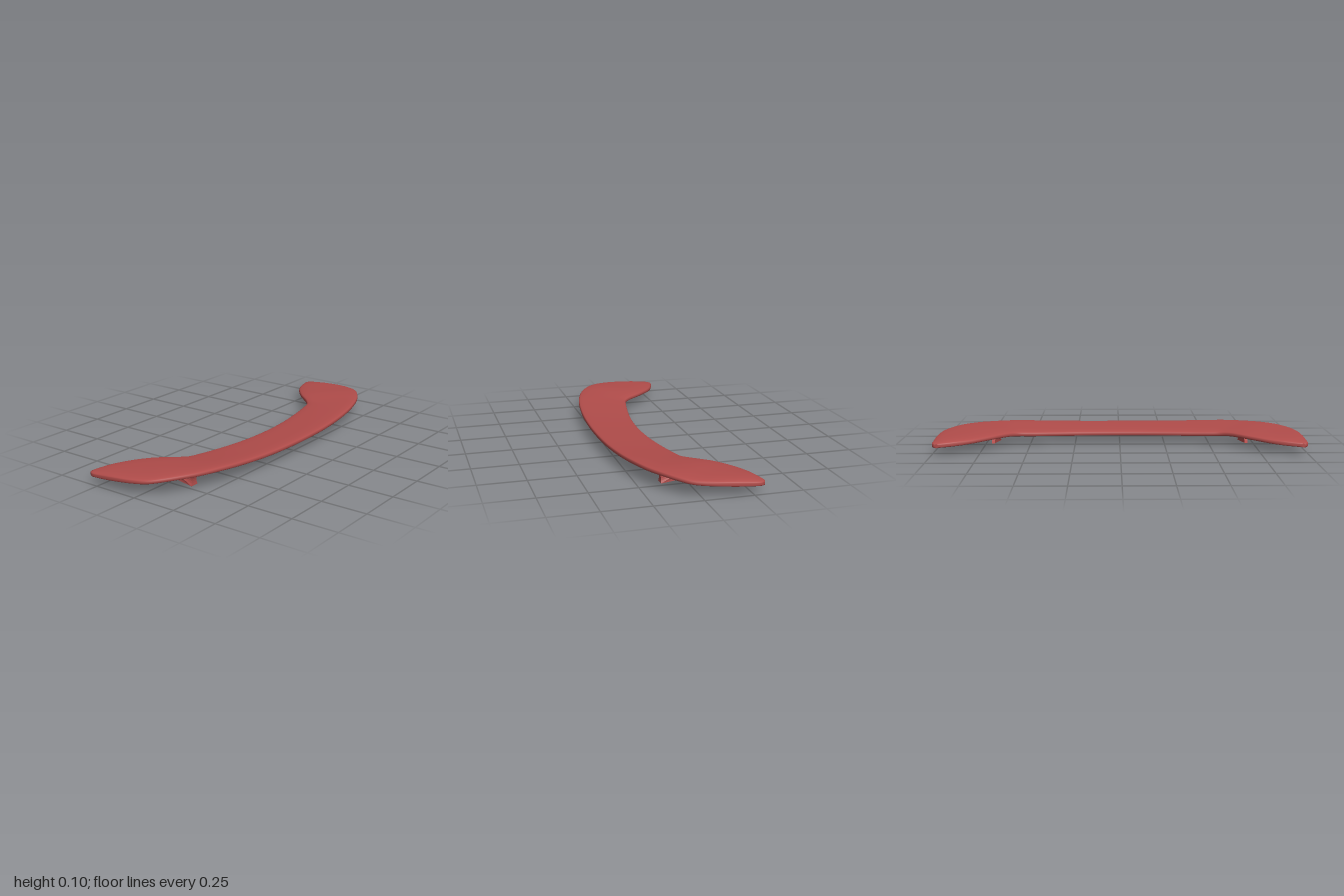
import * as THREE from 'three';

const V = (p) => new THREE.Vector3(...p);

// Half outlines from the middle to the wing tip, as [x, y, z] of the mid surface
const FRONT = [[0, .071, .305], [.2, .072, .3], [.34, .075, .29], [.5, .081, .27], [.62, .086, .245],
  [.74, .087, .205], [.82, .087, .165], [.9, .083, .11], [.955, .076, .05], [.985, .071, -.03],
  [.998, .063, -.14], [1, .056, -.22], [.998, .052, -.285], [.985, .051, -.306]];
const BACK = [[0, .052, .04], [.2, .053, .03], [.4, .056, 0], [.5, .059, -.02], [.56, .062, -.035],
  [.605, .066, -.07], [.645, .067, -.115], [.68, .067, -.155], [.73, .065, -.2], [.79, .061, -.245],
  [.86, .057, -.28], [.91, .054, -.297], [.95, .052, -.308], [.965, .051, -.31]];

// Mirrored smooth edge running from one tip to the other
function edge(half) {
  const right = half.slice(1).reverse().map(([x, y, z]) => V([-x, y, z]));
  return new THREE.CatmullRomCurve3([...right, ...half.map(V)]);
}

// Curved blade: rounded flat sections spanning the front and back edges
function bladeGeometry() {
  const front = edge(FRONT), back = edge(BACK);
  const rows = 104, ring = 40;
  const pos = [], index = [];
  const soft = (v, e) => Math.sign(v) * Math.pow(Math.abs(v), e);
  for (let i = 0; i <= rows; i++) {
    const t = i / rows, f = front.getPoint(t), b = back.getPoint(t);
    const out = Math.abs(2 * t - 1);
    const half = THREE.MathUtils.lerp(.018, .011, THREE.MathUtils.smoothstep(out, .75, 1));
    const camber = .005 * THREE.MathUtils.smoothstep(out, .3, .55) * (1 - THREE.MathUtils.smoothstep(out, .8, 1));
    for (let j = 0; j < ring; j++) {
      const a = (j / ring) * Math.PI * 2;
      const s = .5 - .5 * soft(Math.cos(a), .6);
      const p = f.clone().lerp(b, s);
      p.y += soft(Math.sin(a), .5) * half + camber * Math.sin(s * Math.PI);
      pos.push(p.x, p.y, p.z);
    }
  }
  for (let i = 0; i < rows; i++) {
    for (let j = 0; j < ring; j++) {
      const a = i * ring + j, b = i * ring + (j + 1) % ring;
      index.push(a, a + ring, b, b, a + ring, b + ring);
    }
  }
  // Tip caps
  const last = rows * ring;
  for (let j = 1; j < ring - 1; j++) {
    index.push(0, j, j + 1);
    index.push(last, last + j + 1, last + j);
  }
  const g = new THREE.BufferGeometry();
  g.setAttribute('position', new THREE.Float32BufferAttribute(pos, 3));
  g.setIndex(index);
  g.computeVertexNormals();
  return g;
}

// Mounting foot: side profile (z, y) extruded across x, waisted and narrowing rearward
function footGeometry() {
  const s = new THREE.Shape();
  s.moveTo(.13, 0);
  s.quadraticCurveTo(.122, .05, .15, .068);
  s.lineTo(-.02, .068);
  s.quadraticCurveTo(-.022, .038, -.065, .018);
  s.closePath();
  const g = new THREE.ExtrudeGeometry(s, { depth: 1, bevelEnabled: false, curveSegments: 8 });
  g.translate(0, 0, -.5);
  g.rotateY(-Math.PI / 2);
  const p = g.attributes.position;
  for (let i = 0; i < p.count; i++) {
    const y = p.getY(i), z = p.getZ(i);
    const waist = .032 + .02 * Math.pow(Math.abs(y - .035) / .035, 2);
    const taper = THREE.MathUtils.mapLinear(z, -.065, .15, .45, 1);
    p.setX(i, p.getX(i) * waist * taper);
  }
  g.computeVertexNormals();
  return g;
}

export function createModel() {
  const group = new THREE.Group();
  group.name = 'spoiler';
  const red = new THREE.MeshStandardMaterial({ color: 0xb04c4a, side: THREE.DoubleSide });

  const blade = new THREE.Mesh(bladeGeometry(), red);
  blade.name = 'blade';
  group.add(blade);

  const footGeo = footGeometry();
  for (const side of [1, -1]) {
    const foot = new THREE.Mesh(footGeo, red);
    foot.name = side > 0 ? 'leftFoot' : 'rightFoot';
    foot.position.x = side * .7;
    group.add(foot);
  }
  return group;
}
